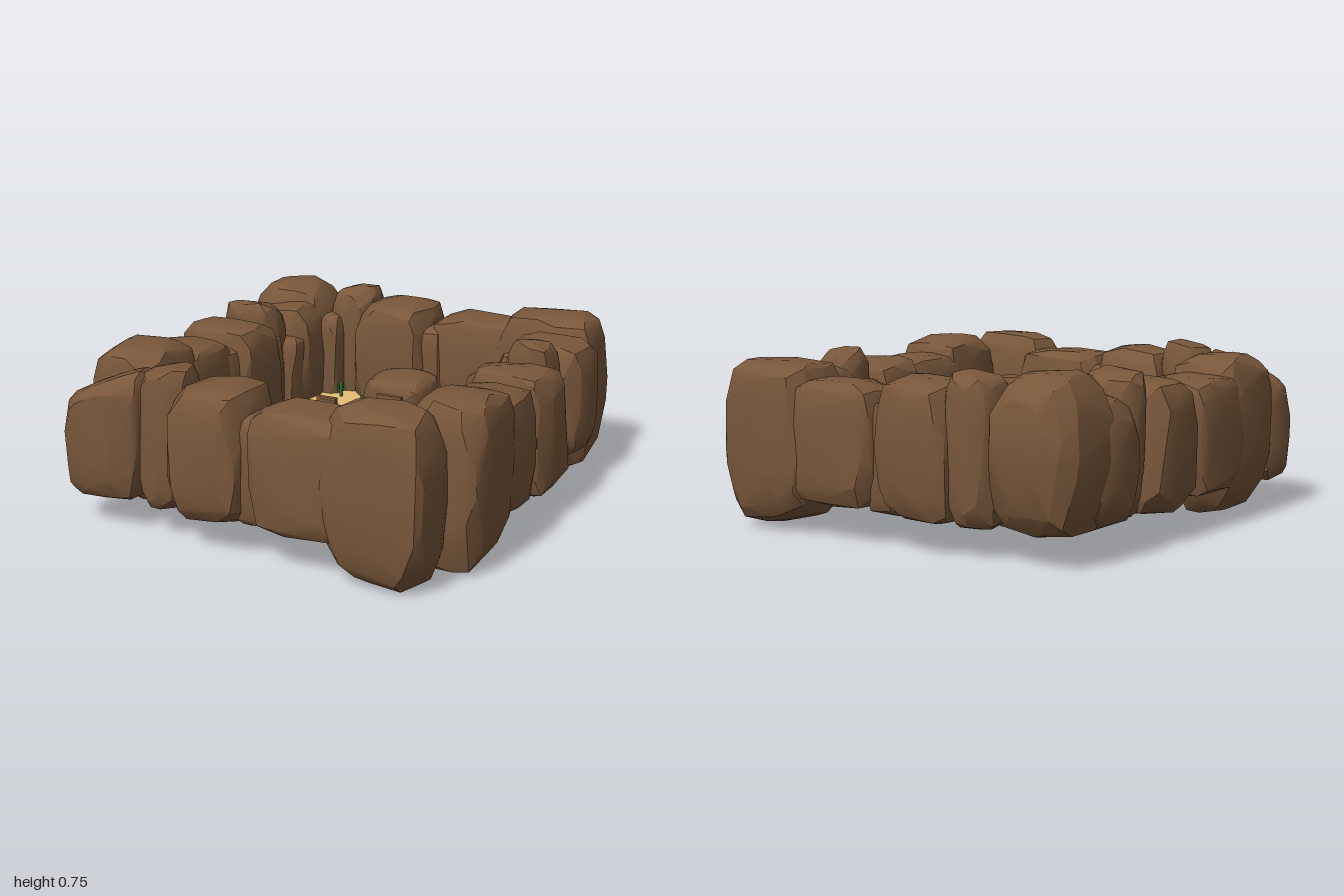
import * as THREE from 'three';
import { ConvexGeometry } from 'three/addons/geometries/ConvexGeometry.js';
import { toCreasedNormals } from 'three/addons/utils/BufferGeometryUtils.js';

const FLOOR = 0.235;

function material(name, color, side = THREE.FrontSide) {
  const m = new THREE.MeshStandardMaterial({ color, side });
  m.name = name;
  return m;
}

function seeded(seed) {
  let s = seed * 7919 + 17;
  return () => {
    s = (s * 16807) % 2147483647;
    return s / 2147483647;
  };
}

// Faceted boulder filling the bounds. topX/topZ lower the top towards -x/-z,
// lowX/lowZ raise the underside there, leanX/leanZ shift the top sideways,
// peak/foot narrow the top/bottom, plan sets the outline from above (2 = round, 8 = square).
function rockGeometry([x0, x1, y0, y1, z0, z1, shape = {}], seed) {
  const { topX = 0, topZ = 0, lowX = 0, lowZ = 0, leanX = 0, leanZ = 0, peak = 0, foot = 0, plan = 6 } = shape;
  const rand = seeded(seed);
  for (let i = 0; i < 5; i++) rand();
  const n = 170, pts = [];
  const tx = (rand() - 0.5) * 0.12, tz = (rand() - 0.5) * 0.12;
  for (let i = 0; i < n; i++) {
    const y = 1 - (2 * (i + 0.5)) / n, r = Math.sqrt(1 - y * y), t = i * 2.39996 + rand() * 0.4;
    const d = new THREE.Vector3(r * Math.cos(t), y, r * Math.sin(t));
    const rho = (Math.abs(d.x) ** plan + Math.abs(d.z) ** plan) ** (1 / plan);
    d.multiplyScalar((rho ** 6 + Math.abs(y) ** 6) ** (-1 / 6) * (0.94 + 0.06 * rand()));
    const u = (1 - d.x) / 2, v = (1 - d.z) / 2;
    const narrow = 1 - (d.y > 0 ? peak : foot) * d.y * d.y;
    d.y *= d.y > 0 ? 1 - topX * u - topZ * v : 1 - lowX * u - lowZ * v;
    d.x = d.x * narrow * (1 - tx * d.y) + leanX * d.y;
    d.z = d.z * narrow * (1 - tz * d.y) + leanZ * d.y;
    pts.push(d);
  }
  const box = new THREE.Box3().setFromPoints(pts), size = box.getSize(new THREE.Vector3());
  for (const p of pts) {
    p.sub(box.min).divide(size);
    p.set(x0 + p.x * (x1 - x0), y0 + p.y * (y1 - y0), z0 + p.z * (z1 - z0));
  }
  return toCreasedNormals(new ConvexGeometry(pts), 0.4);
}

export function createModel() {
  const root = new THREE.Group();
  root.name = 'canyonArena';
  const rock = material('rock brown', 0x79573b);
  const sand = material('sand', 0xe6be76, THREE.DoubleSide);
  const wood = material('wood', 0x7f5a3c);
  const dark = material('dark timber', 0x533926);
  const green = material('cactus green', 0x3a6b2a);

  function add(parent, name, geo, mat, x = 0, y = 0, z = 0) {
    const m = new THREE.Mesh(geo, mat);
    m.name = name;
    m.position.set(x, y, z);
    parent.add(m);
    return m;
  }
  function group(name, x = 0, y = 0, z = 0) {
    const g = new THREE.Group();
    g.name = name;
    g.position.set(x, y, z);
    root.add(g);
    return g;
  }
  const box = (w, h, d) => new THREE.BoxGeometry(w, h, d);

  // Sand floor
  add(root, 'sandFloor', new THREE.PlaneGeometry(1.36, 1.5).rotateX(-Math.PI / 2), sand, 0, FLOOR, 0);

  // Rock walls: x0, x1, y0, y1, z0, z1, shape
  const column = { plan: 2.4, topX: 0.1, leanX: 0.08 };
  const sideColumn = { plan: 2.4, topZ: 0.16, leanZ: 0.16 };
  const walls = {
    frontWall: [
      [-0.92, -0.51, 0.13, 0.71, 0.66, 0.95, { topX: 0.55, leanX: 0.1, plan: 4 }],
      [-0.55, -0.3, 0.13, 0.75, 0.67, 0.93, column],
      [-0.37, 0.01, 0.13, 0.71, 0.6, 0.99, { topX: 0.06, leanX: 0.06, peak: 0.1 }],
      [0.03, 0.5, 0.15, 0.67, 0.65, 0.985],
      [0.36, 0.83, 0.01, 0.735, 0.67, 1.0, { lowX: 0.24, foot: 0.15, peak: 0.06 }],
    ],
    backWall: [
      [-0.93, -0.5, 0.12, 0.76, -0.96, -0.5, { peak: 0.35, foot: 0.2, plan: 4 }],
      [-0.55, -0.3, 0.13, 0.75, -0.95, -0.68, column],
      [-0.37, 0.01, 0.13, 0.71, -0.99, -0.61, { topX: 0.06, leanX: 0.06, peak: 0.1 }],
      [0.02, 0.5, 0.15, 0.67, -0.99, -0.68],
      [0.36, 0.84, 0.01, 0.735, -1.0, -0.66, { lowX: 0.24, lowZ: 0.12, foot: 0.12, peak: 0.06 }],
    ],
    leftWall: [
      [0.6, 0.94, 0.01, 0.735, 0.3, 0.71, { lowZ: 0.14, foot: 0.1 }],
      [0.58, 0.93, 0.15, 0.66, 0.03, 0.46],
      [0.52, 0.94, 0.12, 0.68, -0.29, 0.05, { topZ: 0.08, leanZ: 0.06 }],
      [0.6, 0.83, 0.13, 0.74, -0.47, -0.23, sideColumn],
      [0.5, 0.9, 0.16, 0.68, -0.76, -0.4, { plan: 4 }],
    ],
    rightWall: [
      [-0.94, -0.57, 0.02, 0.73, 0.3, 0.71, { lowX: 0.15, foot: 0.35 }],
      [-0.94, -0.57, 0.15, 0.66, 0.03, 0.46],
      [-0.94, -0.52, 0.12, 0.68, -0.3, 0.05, { topZ: 0.08, leanZ: 0.06 }],
      [-0.88, -0.58, 0.13, 0.74, -0.47, -0.23, sideColumn],
      [-0.94, -0.5, 0.13, 0.69, -0.73, -0.38, { topX: 0.25, peak: 0.2, plan: 4 }],
    ],
    innerRocks: [
      [-0.72, -0.53, 0.13, 0.55, 0.32, 0.56], [0.54, 0.72, 0.13, 0.55, 0.32, 0.56],
      [-0.66, -0.44, 0.13, 0.58, 0.6, 0.78], [0.36, 0.62, 0.13, 0.54, 0.62, 0.8],
      [-0.64, -0.43, 0.13, 0.62, -0.82, -0.6], [0.4, 0.64, 0.13, 0.56, -0.82, -0.61],
      [-0.7, -0.52, 0.13, 0.56, -0.54, -0.34], [-0.09, 0.1, 0.13, 0.61, -0.93, -0.67],
      [-0.08, 0.1, 0.14, 0.61, 0.67, 0.92], [-0.84, -0.57, 0.13, 0.61, -0.08, 0.14],
      [0.58, 0.84, 0.13, 0.61, -0.08, 0.14], [0.56, 0.8, 0.14, 0.6, -0.36, -0.18],
      [-0.8, -0.56, 0.14, 0.6, -0.36, -0.18],
    ],
  };
  let seed = 1;
  for (const [name, list] of Object.entries(walls)) {
    const g = group(name);
    list.forEach((r, i) => add(g, name + 'Rock' + (i + 1), rockGeometry(r, seed++), rock));
  }

  // Mine boulder with a timbered entrance and footing
  const mine = group('mineEntrance');
  add(mine, 'mineBoulder', rockGeometry([-0.19, 0.13, FLOOR, 0.42, -0.68, -0.37, { plan: 4, peak: 0.15 }], 41), rock);
  add(mine, 'tunnelMouth', box(0.08, 0.1, 0.008), dark, -0.01, FLOOR + 0.05, -0.368);
  for (const s of [-1, 1]) add(mine, 'minePost', box(0.014, 0.11, 0.016), wood, -0.01 + s * 0.045, FLOOR + 0.055, -0.362);
  add(mine, 'mineLintel', box(0.125, 0.016, 0.02), wood, -0.01, FLOOR + 0.115, -0.362);
  add(mine, 'mineFooting', box(0.2, 0.09, 0.03), wood, 0.005, FLOOR - 0.05, -0.375);
  for (const s of [-1, 1]) add(mine, 'spurRail', box(0.006, 0.008, 0.06), wood, -0.01 + s * 0.02, FLOOR + 0.006, -0.335);
  for (let i = 0; i < 3; i++) add(mine, 'spurSleeper', box(0.055, 0.005, 0.008), wood, -0.01, FLOOR + 0.003, -0.355 + i * 0.02);
  add(mine, 'plankStack', box(0.08, 0.03, 0.025), wood, -0.08, FLOOR + 0.015, -0.36);
  add(mine, 'mineCrate', box(0.026, 0.03, 0.026), wood, 0.12, FLOOR + 0.015, -0.355).rotation.y = 0.5;

  // Railway across the arena
  const track = group('railway', 0, FLOOR, -0.283);
  for (const z of [-0.018, 0.018]) add(track, 'rail', box(1.24, 0.012, 0.008), wood, 0, 0.01, z);
  for (let i = 0; i < 46; i++) add(track, 'sleeper', box(0.012, 0.008, 0.056), wood, -0.6 + i * 0.0267, 0.002, 0);

  // Timber barricades: x, z, width, barrel x
  const barrel = new THREE.CylinderGeometry(0.015, 0.015, 0.034, 8);
  const barricades = [
    [-0.39, -0.455, 0.085, -0.442], [0.37, -0.455, 0.08, 0.43], [-0.4, -0.155, 0.11, -0.32],
    [0.31, -0.162, 0.14, 0.381], [-0.215, 0.188, 0.055, -0.17], [0.205, 0.188, 0.055, 0.155],
    [-0.37, 0.403, 0.11, -0.445], [0.255, 0.395, 0.11, 0.325],
  ];
  const cover = group('barricades', 0, FLOOR, 0);
  for (const [x, z, w, bx] of barricades) {
    for (let i = 0; i < 3; i++) add(cover, 'barricadePlank', box(w, 0.01, 0.026), wood, x, 0.006 + i * 0.0115, z);
    add(cover, 'barricadeCore', box(w - 0.006, 0.032, 0.018), dark, x, 0.016, z);
    add(cover, 'barricadeBarrel', barrel, wood, bx, 0.018, z);
  }

  // Loose barrels
  const loose = [[-0.415, 0.1], [-0.39, 0.115], [-0.415, 0.13], [0.41, 0.19], [0.195, -0.49], [0.215, -0.46], [-0.18, -0.4], [-0.163, -0.38]];
  for (const [x, z] of loose) add(cover, 'looseBarrel', barrel, wood, x, 0.018, z);

  // Low fences: start x, end x, z
  const fences = group('fences', 0, FLOOR, 0);
  for (const [a, b, z] of [[-0.25, 0.03, -0.158], [-0.15, 0.145, 0.188]]) {
    for (const y of [0.012, 0.024]) add(fences, 'fenceRail', box(b - a, 0.005, 0.005), dark, (a + b) / 2, y, z);
    for (let i = 0; i <= 5; i++) add(fences, 'fencePost', box(0.009, 0.034, 0.009), dark, a + ((b - a) * i) / 5, 0.018, z);
  }

  // Cacti with two raised arms
  const cacti = [
    [-0.4, -0.595, -0.2], [0.385, -0.6, -0.9], [-0.2, -0.44, -0.2], [0.15, -0.39, 0.8], [-0.465, -0.16, 0.6],
    [-0.1, -0.085, 0.6], [0.385, -0.035, 0.4], [0.14, 0.065, -0.4], [-0.475, 0.25, 1.2], [-0.295, 0.405, 0.5],
    [0.175, 0.39, 0.7], [-0.04, 0.485, 0.6], [0.45, 0.485, -0.5],
  ];
  const stem = new THREE.CapsuleGeometry(0.0085, 0.062, 2, 8);
  const arm = new THREE.CapsuleGeometry(0.006, 0.022, 2, 8);
  const elbow = box(0.018, 0.01, 0.01);
  for (const [x, z, turn] of cacti) {
    const c = group('cactus', x, FLOOR, z);
    c.rotation.y = turn;
    add(c, 'cactusStem', stem, green, 0, 0.036, 0);
    for (const s of [-1, 1]) {
      const y = s > 0 ? 0.036 : 0.028;
      add(c, 'cactusElbow', elbow, green, s * 0.012, y, 0);
      add(c, 'cactusArm', arm, green, s * 0.02, y + 0.011, 0);
    }
  }
  return root;
}
